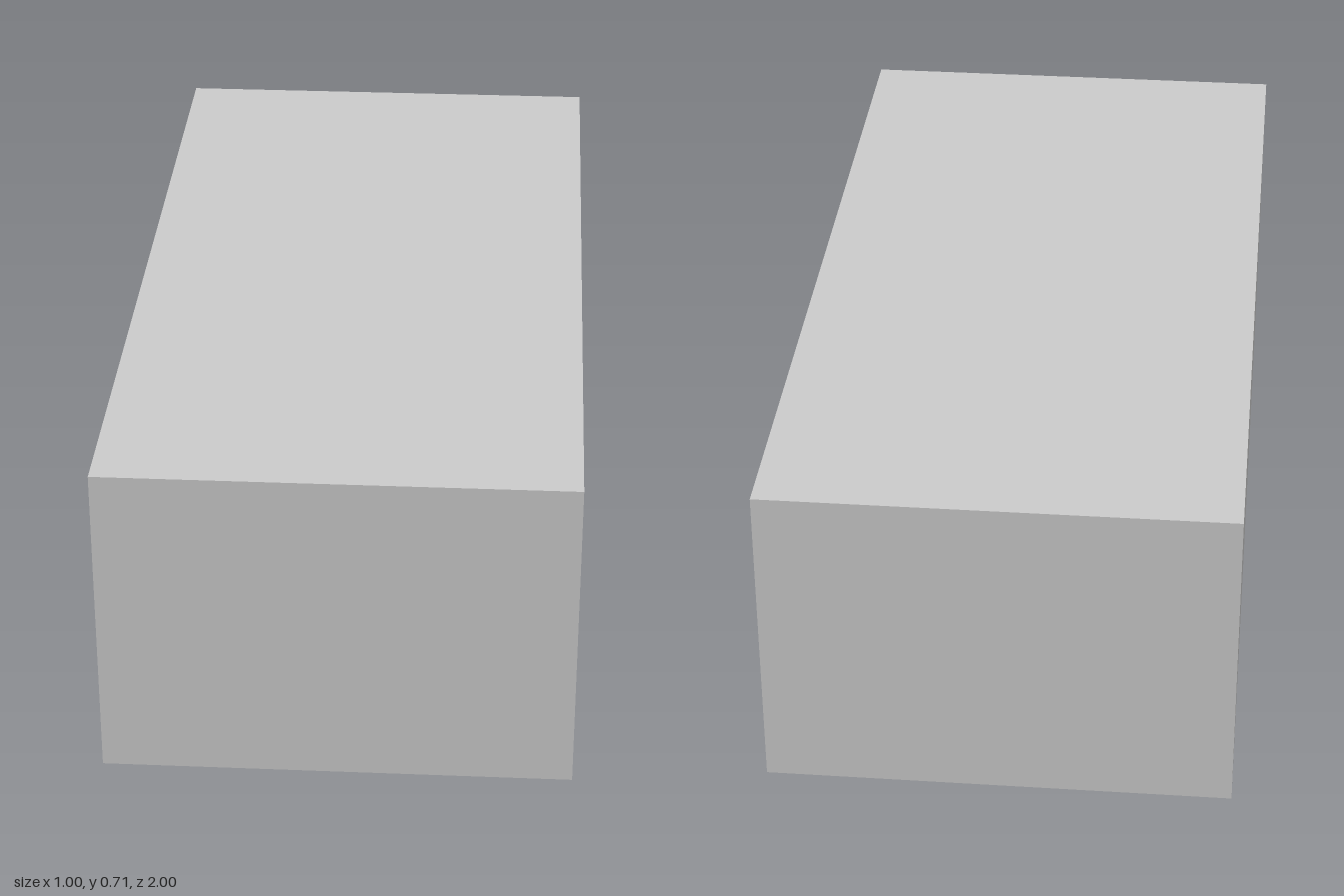
import * as THREE from 'three';

const HEIGHT = 0.71, OPENING = 0.48, WALL = 0.03;
const BACK = -0.5 + WALL; // inner face of the closed long wall

export function createModel() {
  const model = new THREE.Group();
  const material = new THREE.MeshStandardMaterial({ color: 0xcccccc, flatShading: true });

  function add(name, geometry, mat = material) {
    const mesh = new THREE.Mesh(geometry, mat);
    mesh.name = name;
    model.add(mesh);
    return mesh;
  }

  // Box given by its x and z ranges, standing on the floor
  function block(name, x0, x1, z0, z1, height) {
    const geometry = new THREE.BoxGeometry(x1 - x0, height, z1 - z0);
    geometry.translate((x0 + x1) / 2, height / 2, (z0 + z1) / 2);
    return add(name, geometry);
  }

  // End walls and deep roof: an upside-down U swept across the width
  const inner = 1 - WALL;
  const profile = new THREE.Shape([
    [-1, 0], [-inner, 0], [-inner, OPENING], [inner, OPENING],
    [inner, 0], [1, 0], [1, HEIGHT], [-1, HEIGHT],
  ].map(([z, y]) => new THREE.Vector2(z, y)));
  const shell = new THREE.ExtrudeGeometry(profile, { depth: 0.5 - BACK, bevelEnabled: false });
  shell.rotateY(Math.PI / 2).translate(BACK, 0, 0);
  add('roofAndEndWalls', shell);

  // Closed long side
  block('closedWall', -0.5, BACK, -1, 1, HEIGHT);

  // Thin floor
  const floor = new THREE.PlaneGeometry(0.5 - BACK, 2 * inner);
  floor.rotateX(-Math.PI / 2).translate((0.5 + BACK) / 2, 0, 0);
  const floorMaterial = material.clone();
  floorMaterial.side = THREE.DoubleSide;
  add('floor', floor, floorMaterial);

  // Low furniture reaching out from the closed wall
  block('platform', BACK, -0.1, 0.35, 0.72, 0.15);
  block('benchNear', BACK, 0.12, -0.3, -0.18, 0.15);
  block('benchFar', BACK, 0.12, -0.62, -0.5, 0.15);
  block('wallCounter', BACK, 0.445, -inner, -0.84, 0.15);

  return model;
}
